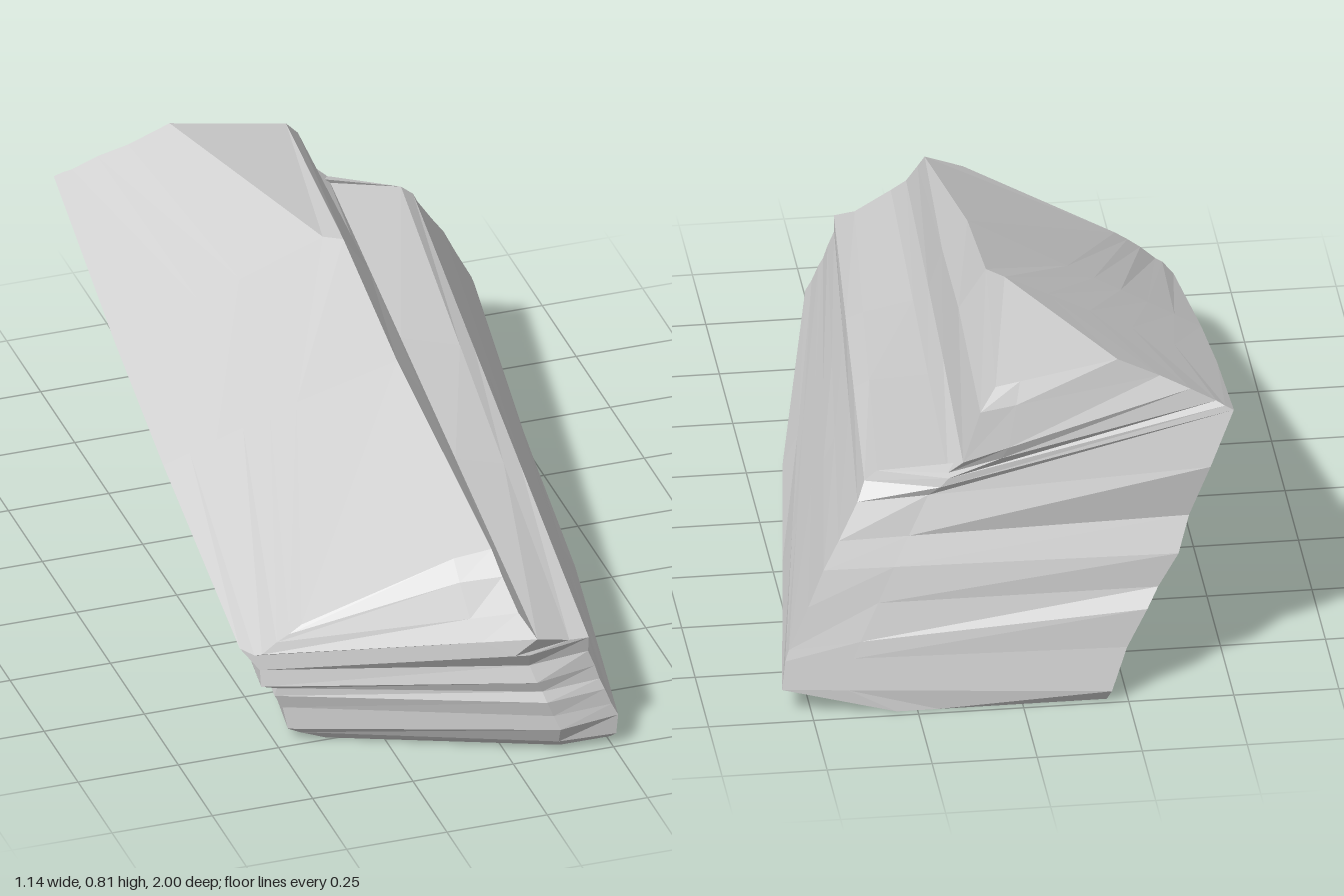
import * as THREE from 'three';

// Each section is a left and a right edge chain, rows running bottom to top
const frontLeft = [
  [-0.38, 0, 0.74], [-0.44, 0.02, 0.73], [-0.47, 0.035, 0.73], [-0.48, 0.09, 0.72], [-0.5, 0.125, 0.72],
  [-0.495, 0.145, 0.72], [-0.53, 0.15, 0.71], [-0.53, 0.19, 0.7], [-0.57, 0.24, 0.67], [-0.55, 0.245, 0.72],
  [-0.535, 0.25, 0.73], [-0.5, 0.28, 0.735], [-0.47, 0.3, 0.74], [-0.44, 0.32, 0.74],
];
const frontRight = [
  [0.26, 0, 0.95], [0.26, 0.03, 0.99], [0.265, 0.08, 0.99], [0.25, 0.11, 0.985], [0.235, 0.15, 0.98],
  [0.225, 0.175, 0.97], [0.215, 0.21, 0.965], [0.2, 0.25, 0.96], [0.2, 0.29, 0.965], [0.15, 0.295, 0.97],
  [0.06, 0.33, 1], [0.03, 0.38, 0.95], [0.01, 0.45, 0.89], [0, 0.5, 0.84],
];
const backLeft = [
  [-0.2, 0, -0.98], [-0.21, 0.03, -1], [-0.25, 0.13, -0.97], [-0.3, 0.22, -0.955], [-0.33, 0.26, -0.92],
  [-0.38, 0.34, -0.91], [-0.41, 0.42, -0.87], [-0.46, 0.55, -0.88], [-0.52, 0.68, -0.845], [-0.5, 0.69, -0.84],
  [-0.48, 0.7, -0.83], [-0.42, 0.73, -0.82], [-0.35, 0.76, -0.8], [-0.25, 0.805, -0.79],
];
const backRight = [
  [0.3, 0, -0.98], [0.57, 0.065, -0.96], [0.56, 0.13, -0.94], [0.55, 0.155, -0.93], [0.5, 0.25, -0.9],
  [0.46, 0.33, -0.87], [0.42, 0.39, -0.84], [0.37, 0.47, -0.8], [0.35, 0.51, -0.77], [0.32, 0.535, -0.77],
  [0.16, 0.555, -0.84], [0.125, 0.585, -0.85], [0.08, 0.7, -0.82], [0.04, 0.75, -0.79],
];
const rows = frontLeft.length;
const top = rows - 1;
const leftShoulder = 8;

const mix = (a, b, t) => a.map((v, k) => v + (b[k] - v) * t);
const mixChain = (a, b, t) => a.map((p, i) => mix(p, b[i], t));

// Middle section: straight blend, with the top swollen and the lower right edge bowed out
function middleSection(t, crownLeft, crownRight, bow) {
  const left = mixChain(frontLeft, backLeft, t);
  const right = mixChain(frontRight, backRight, t);
  const lift = crownRight[1] - right[top][1];
  left[leftShoulder][0] -= 0.01;
  left[top].splice(0, 2, ...crownLeft);
  right[top].splice(0, 2, ...crownRight);
  right[top - 1][1] += lift * 0.5;
  right[top - 2][1] += lift * 0.15;
  right[1][0] += bow;
  right[1][1] -= 0.012;
  for (let i = leftShoulder + 1; i < top; i++) {
    left[i] = mix(left[leftShoulder], left[top], (i - leftShoulder) / (top - leftShoulder));
  }
  return { left, right };
}

function rockGeometry() {
  const positions = [];
  const tri = (a, b, c) => positions.push(...a, ...b, ...c);
  const quad = (a, b, c, d) => { tri(a, b, c); tri(a, c, d); };

  const sections = [
    { left: frontLeft, right: frontRight },
    middleSection(0.39, [-0.25, 0.56], [-0.02, 0.665], 0.035),
    middleSection(0.65, [-0.05, 0.755], [-0.01, 0.76], 0.02),
    { left: backLeft, right: backRight },
  ];

  // Long sides, top and underside
  const rings = sections.map((s) => [...s.left, ...[...s.right].reverse()]);
  for (let s = 0; s < rings.length - 1; s++) {
    const near = rings[s], far = rings[s + 1];
    near.forEach((p, i) => {
      const j = (i + 1) % near.length;
      quad(p, near[j], far[j], far[i]);
    });
  }

  // Layered end faces, built as rows of left, inner and right points
  const frontInnerZ = [0.95, 0.98, 1, 0.99, 0.99, 0.975, 0.98, 0.96, 0.985, 0.985];
  const frontInner = frontLeft.map((p, i) => {
    const m = mix(p, frontRight[i], 0.8);
    if (i < frontInnerZ.length) m[2] = frontInnerZ[i];
    if (i > 11) m[1] += 0.015;
    return m;
  });
  const backInner = backLeft.map((p, i) => {
    const m = mix(p, backRight[i], 0.8);
    if (i === 8 || i === 9) { m[1] -= 0.035; m[2] -= 0.04; }
    return m;
  });
  const endFace = (left, inner, right) => {
    for (let i = 0; i < top; i++) {
      quad(left[i], inner[i], inner[i + 1], left[i + 1]);
      quad(inner[i], right[i], right[i + 1], inner[i + 1]);
    }
  };
  endFace(frontLeft, frontInner, frontRight);
  endFace(backRight, backInner, backLeft);

  // Slivers closing the end faces against the top and the underside
  tri(frontLeft[top], frontInner[top], frontRight[top]);
  tri(frontLeft[0], frontRight[0], frontInner[0]);
  tri(backRight[top], backInner[top], backLeft[top]);
  tri(backRight[0], backLeft[0], backInner[0]);

  const geometry = new THREE.BufferGeometry();
  geometry.setAttribute('position', new THREE.Float32BufferAttribute(positions, 3));
  geometry.computeVertexNormals();
  return geometry;
}

export function createModel() {
  const group = new THREE.Group();
  group.name = 'rock';
  const material = new THREE.MeshStandardMaterial({ color: 0xcccccc, flatShading: true, side: THREE.DoubleSide });
  const boulder = new THREE.Mesh(rockGeometry(), material);
  boulder.name = 'layeredBoulder';
  group.add(boulder);
  return group;
}
